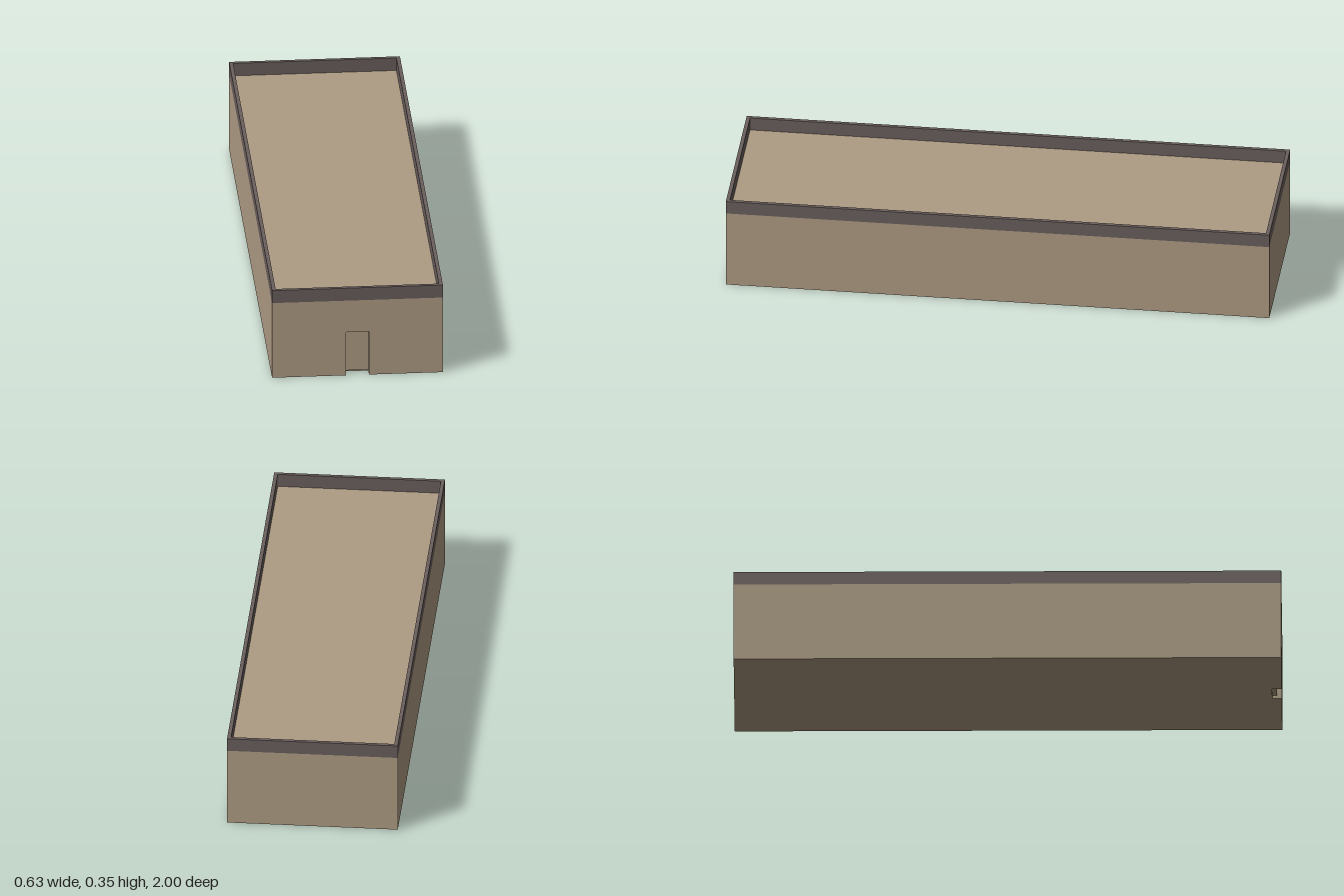
import * as THREE from 'three';

const W = 0.626, L = 2, WALL_H = 0.3, TOP_H = 0.35, RIM = 0.014;
const DOOR_W = 0.084, DOOR_H = 0.173, RECESS = 0.035;

export function createModel() {
  const group = new THREE.Group();
  const wallMat = new THREE.MeshStandardMaterial({ name: 'tan wall', color: 0xae9c83 });
  const trimMat = new THREE.MeshStandardMaterial({ name: 'dark trim', color: 0x6a5f5d });

  const add = (name, geometry, material, x = 0, y = 0, z = 0) => {
    const mesh = new THREE.Mesh(geometry, material);
    mesh.name = name;
    mesh.position.set(x, y, z);
    group.add(mesh);
    return mesh;
  };
  const extrude = (shape, depth) =>
    new THREE.ExtrudeGeometry(shape, { depth, bevelEnabled: false });
  const rectangle = (w, h, Path) => new Path([
    new THREE.Vector2(-w / 2, -h / 2), new THREE.Vector2(w / 2, -h / 2),
    new THREE.Vector2(w / 2, h / 2), new THREE.Vector2(-w / 2, h / 2),
  ]);

  // Main block with its flat roof
  add('building', new THREE.BoxGeometry(W, WALL_H, L - RECESS), wallMat, 0, WALL_H / 2, -RECESS / 2);

  // Front wall with the doorway notched up from the ground
  const d = DOOR_W / 2;
  const front = new THREE.Shape([
    [-W / 2, 0], [-d, 0], [-d, DOOR_H], [d, DOOR_H], [d, 0],
    [W / 2, 0], [W / 2, WALL_H], [-W / 2, WALL_H],
  ].map(([x, y]) => new THREE.Vector2(x, y)));
  add('frontWall', extrude(front, RECESS), wallMat, 0, 0, L / 2 - RECESS);

  // Door panel, raised a little above the ground inside the doorway
  const sill = 0.012, panel = 0.018;
  add('door', new THREE.BoxGeometry(DOOR_W, DOOR_H - sill, panel), wallMat,
    0, (DOOR_H + sill) / 2, L / 2 - RECESS + panel / 2);

  // Parapet ring around the roof
  const ring = rectangle(W, L, THREE.Shape);
  ring.holes.push(rectangle(W - 2 * RIM, L - 2 * RIM, THREE.Path));
  add('parapet', extrude(ring, TOP_H - WALL_H), trimMat, 0, WALL_H, 0).rotation.x = -Math.PI / 2;

  return group;
}
